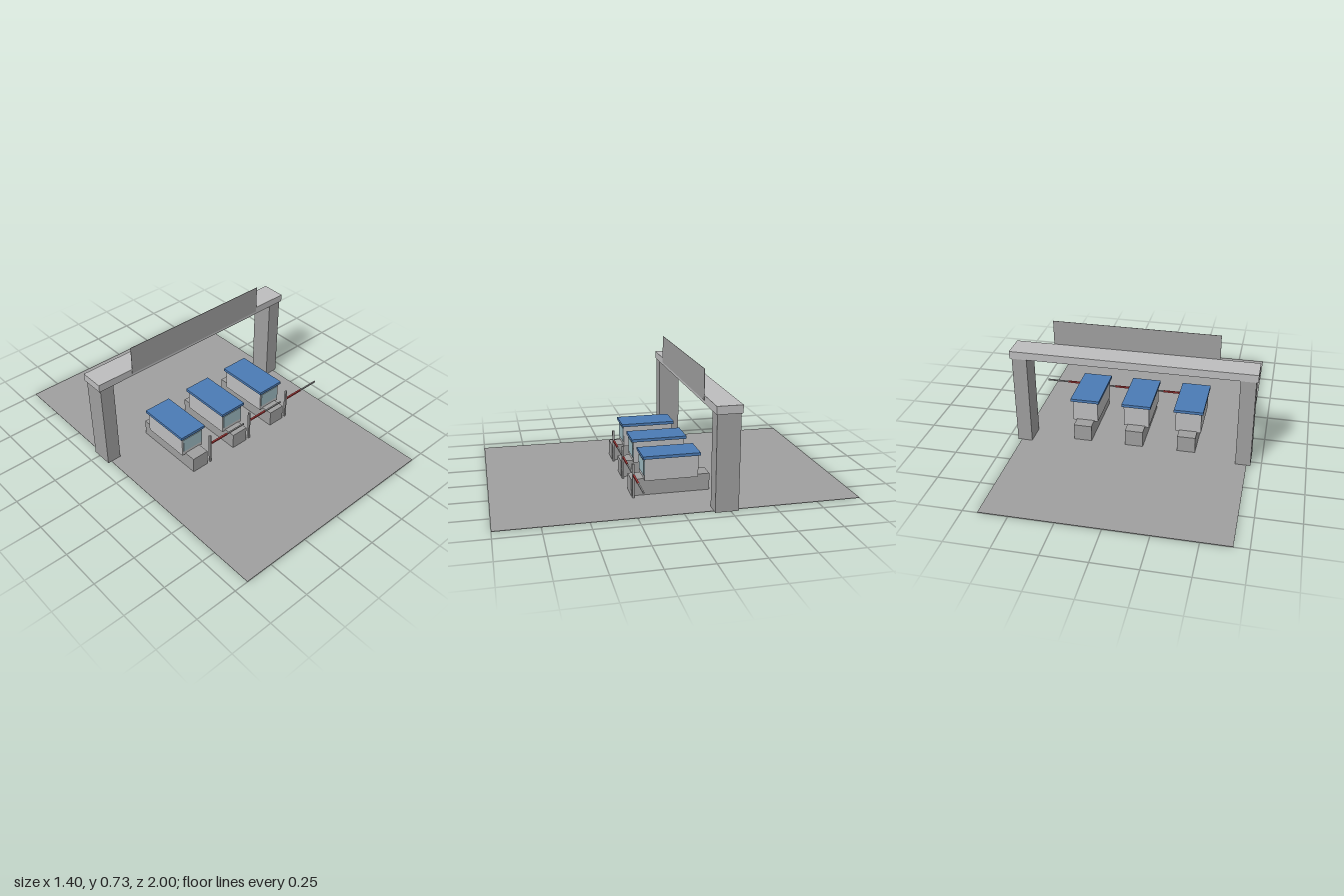
import * as THREE from 'three';

const mat = (name, color) => {
  const m = new THREE.MeshStandardMaterial({ color });
  m.name = name;
  return m;
};

export function createModel() {
  const concrete = mat('concrete grey', 0x9f9f9f);
  const light = mat('light grey', 0xbdbdbe);
  const blue = mat('roof blue', 0x4b7bb5);
  const glass = mat('window glass', 0x9dbac2);
  const red = mat('barrier red', 0xa83838);

  const model = new THREE.Group();
  model.name = 'tollGate';

  // Box given by its extents along each axis
  const box = (parent, name, material, [x0, x1], [y0, y1], [z0, z1]) => {
    const mesh = new THREE.Mesh(new THREE.BoxGeometry(x1 - x0, y1 - y0, z1 - z0), material);
    mesh.position.set((x0 + x1) / 2, (y0 + y1) / 2, (z0 + z1) / 2);
    mesh.name = name;
    parent.add(mesh);
    return mesh;
  };

  // Road slab
  box(model, 'ground', concrete, [-0.667, 0.667], [0, 0.003], [-1, 1]);

  // Gantry: two pillars, a beam and a blank sign board
  const gantry = new THREE.Group();
  gantry.name = 'gantry';
  model.add(gantry);
  for (const side of [-1, 1]) {
    const x = side * 0.646;
    box(gantry, side > 0 ? 'leftPillar' : 'rightPillar', concrete,
      [x - 0.043, x + 0.043], [0.001, 0.543], [-0.292, -0.162]);
  }
  box(gantry, 'beam', light, [-0.7, 0.7], [0.543, 0.588], [-0.298, -0.155]);
  box(gantry, 'signBoard', concrete, [-0.477, 0.477], [0.56, 0.733], [-0.155, -0.153]);

  // Three toll lanes, each with an island, booth and barrier
  for (const x of [-0.309, 0, 0.309]) {
    const lane = new THREE.Group();
    lane.name = 'tollLane';
    lane.position.x = x;
    model.add(lane);

    box(lane, 'island', concrete, [-0.053, 0.053], [0.001, 0.1], [-0.225, 0.225]);
    box(lane, 'boothBody', light, [-0.075, 0.075], [0.093, 0.221], [-0.153, 0.153]);
    box(lane, 'boothRoof', blue, [-0.086, 0.086], [0.221, 0.238], [-0.164, 0.164]);
    box(lane, 'frontWindow', glass, [-0.066, 0.066], [0.121, 0.207], [0.153, 0.157]);

    // Barrier: post, red inner half and grey outer half
    box(lane, 'barrierPost', concrete, [0.073, 0.085], [0.001, 0.2], [0.213, 0.225]);
    box(lane, 'barrierArmInner', red, [0.085, 0.213], [0.13, 0.14], [0.212, 0.222]);
    box(lane, 'barrierArmOuter', concrete, [0.213, 0.347], [0.131, 0.139], [0.213, 0.221]);
  }

  return model;
}
